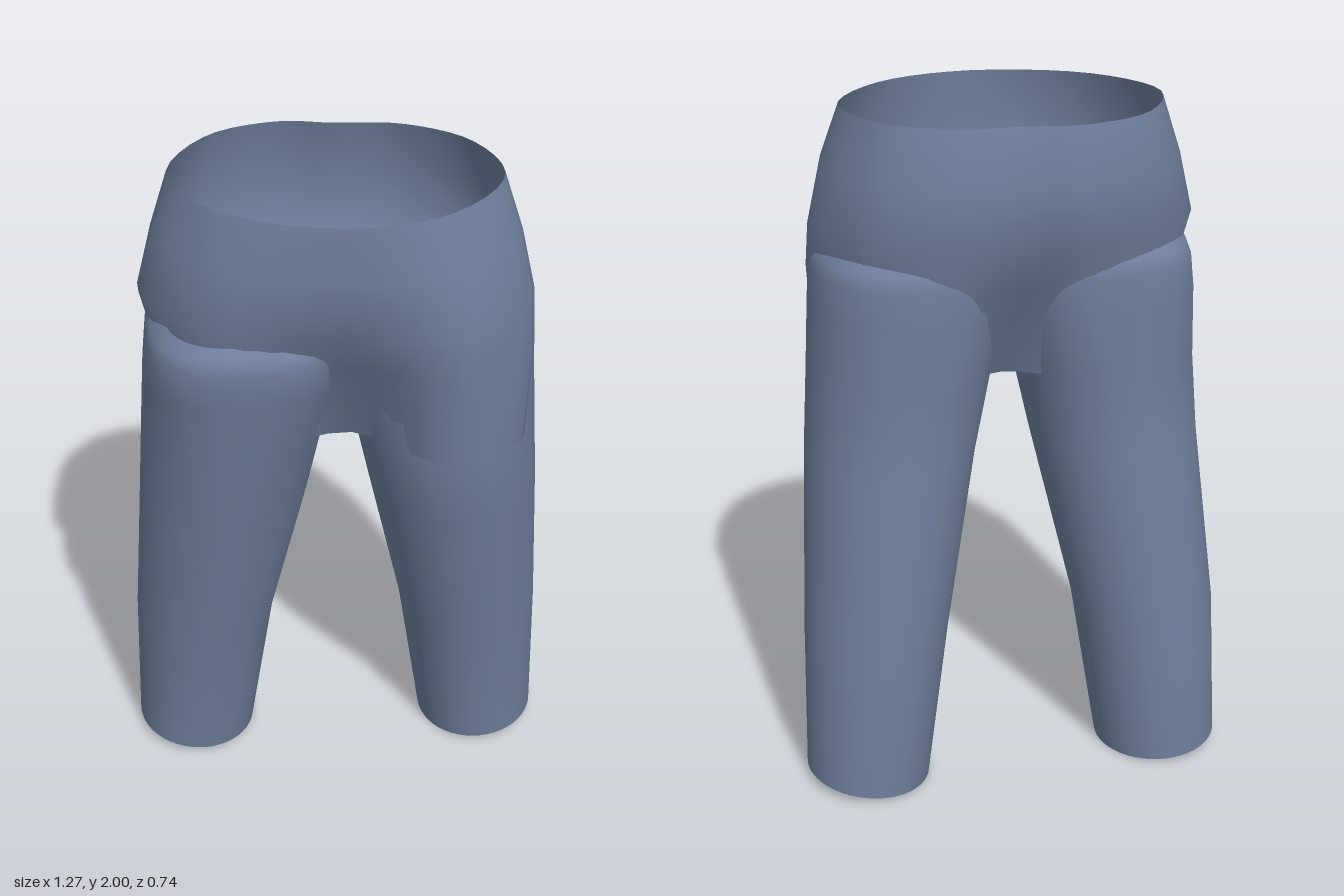
import * as THREE from 'three';

const SEGMENTS = 48;
const cloth = new THREE.MeshStandardMaterial({ color: 0x6e7f9c, side: THREE.DoubleSide });

// Skins a list of closed rings (bottom to top, counter-clockwise from above)
function loft(name, rings) {
  const n = rings[0].length;
  const index = [];
  for (let r = 0; r < rings.length - 1; r++) {
    for (let i = 0; i < n; i++) {
      const a = r * n + i, b = r * n + (i + 1) % n;
      index.push(a, b, b + n, a, b + n, a + n);
    }
  }
  const geometry = new THREE.BufferGeometry().setFromPoints(rings.flat());
  geometry.setIndex(index);
  geometry.computeVertexNormals();
  const mesh = new THREE.Mesh(geometry, cloth);
  mesh.name = name;
  return mesh;
}

// Closed smooth ring through [x, z] points at one height
function curveRing(y, points) {
  const curve = new THREE.CatmullRomCurve3(
    points.map(([x, z]) => new THREE.Vector3(x, y, z)), true);
  return Array.from({ length: SEGMENTS }, (_, i) => curve.getPoint(i / SEGMENTS));
}

// Hip section: open at the waist, pinched between the legs at the bottom
function hips() {
  return loft('hips', [
    curveRing(1.23, [[0.03, 0.12], [0.3, 0.32], [0.52, 0.18], [0.4, -0.12], [0.25, -0.22],
      [0.03, -0.12], [-0.2, -0.22], [-0.4, -0.15], [-0.5, 0], [-0.3, 0.2]]),
    curveRing(1.52, [[0, 0.24], [0.3, 0.36], [0.54, 0.15], [0.44, -0.15], [0.25, -0.27],
      [0, -0.26], [-0.2, -0.27], [-0.42, -0.2], [-0.53, 0], [-0.38, 0.24]]),
    curveRing(1.66, [[0, 0.35], [0.34, 0.35], [0.54, 0.1], [0.46, -0.2], [0.25, -0.33],
      [0, -0.34], [-0.17, -0.35], [-0.44, -0.24], [-0.565, 0], [-0.38, 0.28]]),
    curveRing(1.84, [[0, 0.37], [0.32, 0.32], [0.5, 0.1], [0.42, -0.2], [0.24, -0.33],
      [0, -0.355], [-0.15, -0.37], [-0.4, -0.27], [-0.52, 0], [-0.37, 0.27]]),
    curveRing(2, [[0, 0.36], [0.28, 0.29], [0.45, 0.06], [0.38, -0.17], [0.2, -0.29],
      [0, -0.31], [-0.15, -0.33], [-0.35, -0.25], [-0.47, 0], [-0.33, 0.24]]),
  ]);
}

// Trouser leg: side is +1 for left, -1 for right; rows are y, inner x, outer x, back z, front z
function leg(name, side, topFront, squareness) {
  const rows = [
    [0.015, 0.272, 0.637, -0.37, 0.05],
    [0.48, 0.2, 0.625, -0.365, 0.11],
    [1.0, 0.09, 0.59, -0.3, 0.25],
    [1.23, 0.04, 0.575, -0.3, 0.275],
    [1.45, 0.002, 0.56, -0.3, topFront - 0.01],
    [1.55, 0.0, 0.55, -0.3, topFront],
    [1.59, 0.015, 0.535, -0.29, topFront - 0.01],
    [1.62, 0.05, 0.5, -0.26, topFront - 0.04],
  ];
  const rings = rows.map(([y, inner, outer, back, front], r) => {
    const power = 2 / (y > 1.3 ? squareness : 2);
    const cx = side * (inner + outer) / 2, cz = (back + front) / 2;
    return Array.from({ length: SEGMENTS }, (_, i) => {
      const t = i / SEGMENTS * Math.PI * 2;
      const u = Math.sign(Math.sin(t)) * Math.abs(Math.sin(t)) ** power;
      const v = Math.sign(Math.cos(t)) * Math.abs(Math.cos(t)) ** power;
      const tilt = r === 0 ? 0.015 * side * u : 0; // ankle hem drops on the inside
      return new THREE.Vector3(cx + u * (outer - inner) / 2, y + tilt, cz + v * (front - back) / 2);
    });
  });
  return loft(name, rings);
}

export function createModel() {
  const trousers = new THREE.Group();
  trousers.name = 'trousers';
  trousers.add(hips(), leg('leftLeg', 1, 0.3, 2.2), leg('rightLeg', -1, 0.34, 2.7));
  return trousers;
}
